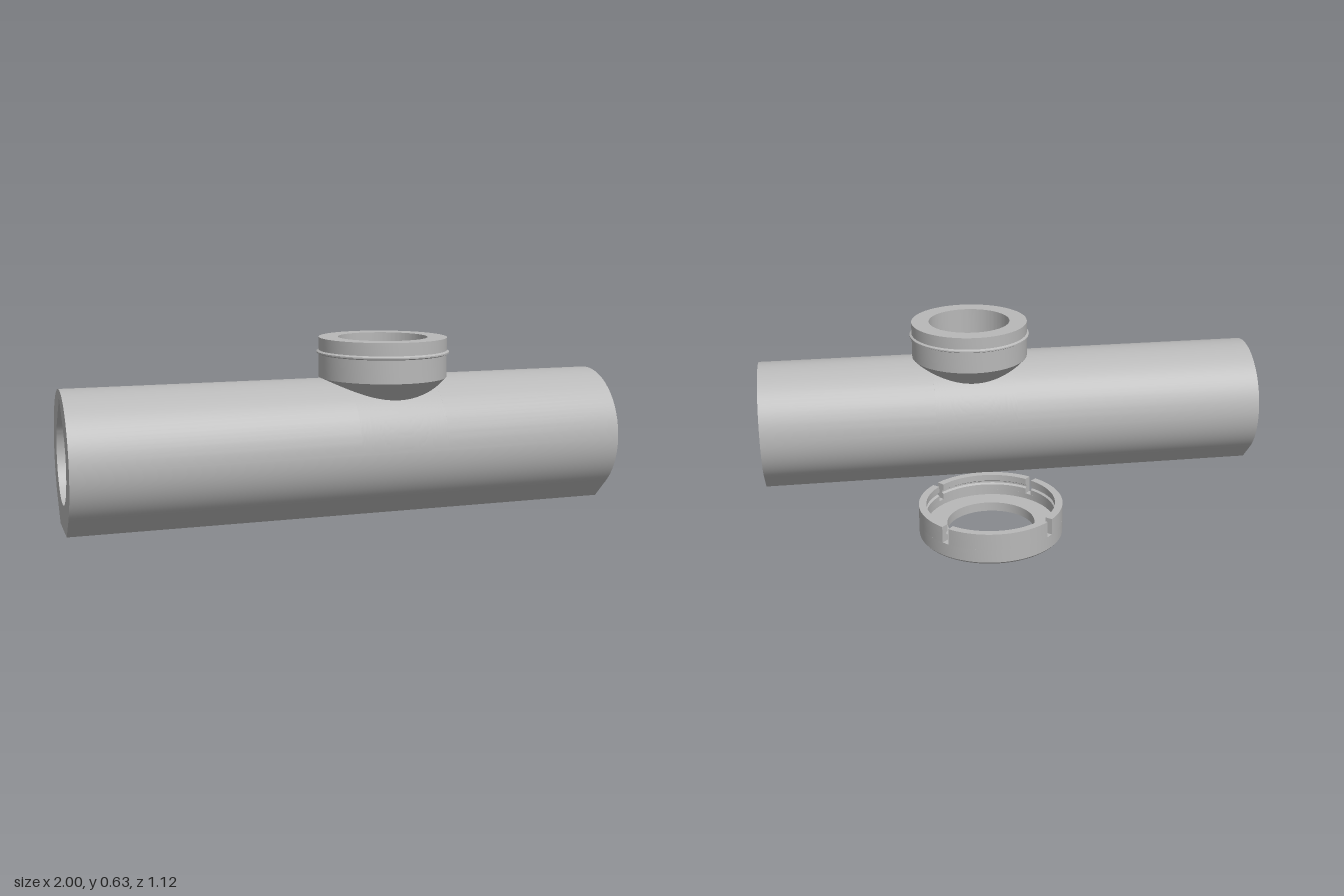
import * as THREE from 'three';
import { mergeGeometries, toCreasedNormals } from 'three/addons/utils/BufferGeometryUtils.js';

const CY = 0.243, R = 0.241, BORE = 0.153; // pipe axis height and radii
const PX = 0.157, PR = 0.162;              // port position along the pipe, port bore radius

// Grid surface f(u, v) -> [x, y, z], facing du x dv (or the reverse when flipped)
function grid(nu, nv, f, flip) {
  const pos = [], idx = [];
  for (let i = 0; i <= nu; i++) for (let j = 0; j <= nv; j++) pos.push(...f(i / nu, j / nv, i, j));
  for (let i = 0; i < nu; i++) for (let j = 0; j < nv; j++) {
    const a = i * (nv + 1) + j, b = a + nv + 1, c = b + 1, d = a + 1;
    if (flip) idx.push(a, d, b, b, d, c);
    else idx.push(a, b, d, b, c, d);
  }
  const g = new THREE.BufferGeometry();
  g.setAttribute('position', new THREE.Float32BufferAttribute(pos, 3));
  g.setIndex(idx);
  return g;
}
const join = (parts) => toCreasedNormals(mergeGeometries(parts.map((p) => {
  const g = p.index ? p.toNonIndexed() : p;
  g.deleteAttribute('uv');
  g.deleteAttribute('normal');
  return g;
})), 0.5);

// Roof heights of the pipe and of its teardrop bore at a distance dz from the axis
const outerTop = (dz) => CY + Math.sqrt(Math.max(0, R * R - dz * dz));
const boreTop = (dz) => dz < BORE * Math.SQRT1_2
  ? CY + BORE * Math.SQRT2 - dz
  : CY + Math.sqrt(Math.max(0, BORE * BORE - dz * dz));

// Upper half of a pipe wall on one side, cut away by the vertical port bore
const COLS = 64, ROWS = 24;
function roof(top, zMax, side, flip) {
  return grid(COLS + 2, ROWS, (u, v, i) => {
    let x = -PR * Math.cos(Math.PI * (i - 1) / COLS), h = 0;
    if (i === 0) x = -1 - PX;
    else if (i === COLS + 2) x = 1 - PX;
    else h = Math.min(zMax, Math.sqrt(Math.max(0, PR * PR - x * x)));
    const a0 = Math.asin(h / zMax);
    const dz = zMax * Math.sin(a0 + (Math.PI / 2 - a0) * v);
    return [x + PX, top(dz), side * dz];
  }, flip);
}

// Lower half profiles as [z, y], from +z round to -z
const arc = (r, a, b, n) => Array.from({ length: n + 1 }, (_, i) => {
  const t = a + (b - a) * i / n;
  return [r * Math.cos(t), CY - r * Math.sin(t)];
});
const footZ = R * Math.SQRT2 - CY;
const outerLow = [...arc(R, 0, Math.PI / 4, 14), [footZ, 0], [-footZ, 0],
  ...arc(R, Math.PI * 3 / 4, Math.PI, 14)];
const boreLow = arc(BORE, 0, Math.PI, 48);
const sweep = (p, flip) => grid(1, p.length - 1, (u, v, i, j) => [i ? 1 : -1, p[j][1], p[j][0]], flip);

function pipeEnd(side) {
  const v2 = (p) => p.map(([z, y]) => new THREE.Vector2(z, y));
  const upper = arc(R, Math.PI, Math.PI * 2, 56).slice(1, -1);
  const s = new THREE.Shape(v2([...outerLow, ...upper]));
  const k = BORE * Math.SQRT1_2;
  s.holes.push(new THREE.Path(v2([...boreLow, ...arc(BORE, Math.PI, Math.PI * 1.25, 12).slice(1),
    [0, CY + BORE * Math.SQRT2], [k, CY + k],
    ...arc(BORE, Math.PI * 1.75, Math.PI * 2, 12).slice(1, -1)])));
  return new THREE.ShapeGeometry(s).rotateY(side * Math.PI / 2).translate(side, 0, 0);
}

const points = (list) => list.map(([x, y]) => new THREE.Vector2(x, y));

export function createModel() {
  const model = new THREE.Group();
  model.name = 'pipeWithPortAndCap';
  const grey = new THREE.MeshStandardMaterial({ color: 0xb8b8b8, side: THREE.DoubleSide });
  grey.name = 'grey';
  const add = (parent, name, geometry) => {
    const m = new THREE.Mesh(geometry, grey);
    m.name = name;
    parent.add(m);
    return m;
  };

  // Pipe with flat foot and teardrop bore
  const body = new THREE.Group();
  body.name = 'pipeBody';
  body.position.z = 0.32;
  model.add(body);
  add(body, 'pipeOuterWall', join([roof(outerTop, R, 1, true), roof(outerTop, R, -1, false), sweep(outerLow, true)]));
  add(body, 'pipeBore', join([roof(boreTop, BORE, 1, false), roof(boreTop, BORE, -1, true), sweep(boreLow, false)]));
  add(body, 'pipeEnds', join([pipeEnd(1), pipeEnd(-1)]));

  // Port collar with flared base and snap bead
  const collar = add(body, 'portCollar', join([new THREE.LatheGeometry(points([
    [0.163, 0.414], [0.232, 0.484], [0.232, 0.567], [0.24, 0.571], [0.24, 0.576],
    [0.232, 0.581], [0.232, 0.627], [PR, 0.627]]), 72)]));
  collar.position.x = PX;

  // Port bore running down into the pipe, with the small ledges beside the pipe bore
  const half = Math.sqrt(PR * PR - BORE * BORE);
  const ledge = (s) => grid(12, 1, (u, v) => {
    const x = half * (2 * u - 1);
    return [x, CY, s * (v ? Math.sqrt(PR * PR - x * x) : BORE)];
  }, s > 0);
  const portBore = add(body, 'portBore', join([
    grid(COLS * 2, 1, (u, v) => {
      const t = u * Math.PI * 2, z = PR * Math.sin(t);
      return [PR * Math.cos(t), v ? 0.627 : boreTop(Math.min(Math.abs(z), BORE)), z];
    }, false), ledge(1), ledge(-1)]));
  portBore.position.x = PX;

  // Loose snap cap: solid base ring below four wall segments
  const cap = new THREE.Group();
  cap.name = 'snapCap';
  cap.position.set(PX, 0, -0.297);
  model.add(cap);
  const slotY = 0.056;
  add(cap, 'capBase', join([new THREE.LatheGeometry(points([
    [PR, 0], [0.259, 0], [0.265, 0.007], [0.265, slotY], [0.237, slotY],
    [0.237, 0.035], [PR, 0.035], [PR, 0]]), 96)]));
  const wall = points([[0.265, slotY], [0.265, 0.117], [0.237, 0.117], [0.237, 0.093],
    [0.245, 0.088], [0.245, 0.082], [0.237, 0.077], [0.237, slotY]]);
  const gap = 0.052;
  for (let i = 0; i < 4; i++) {
    const start = Math.PI / 4 + i * Math.PI / 2 + gap, length = Math.PI / 2 - 2 * gap;
    const end = (phi) => new THREE.ShapeGeometry(new THREE.Shape(wall)).rotateY(phi - Math.PI / 2);
    add(cap, 'capWallSegment', join([
      new THREE.LatheGeometry(wall, 24, start, length), end(start), end(start + length)]));
  }
  return model;
}
